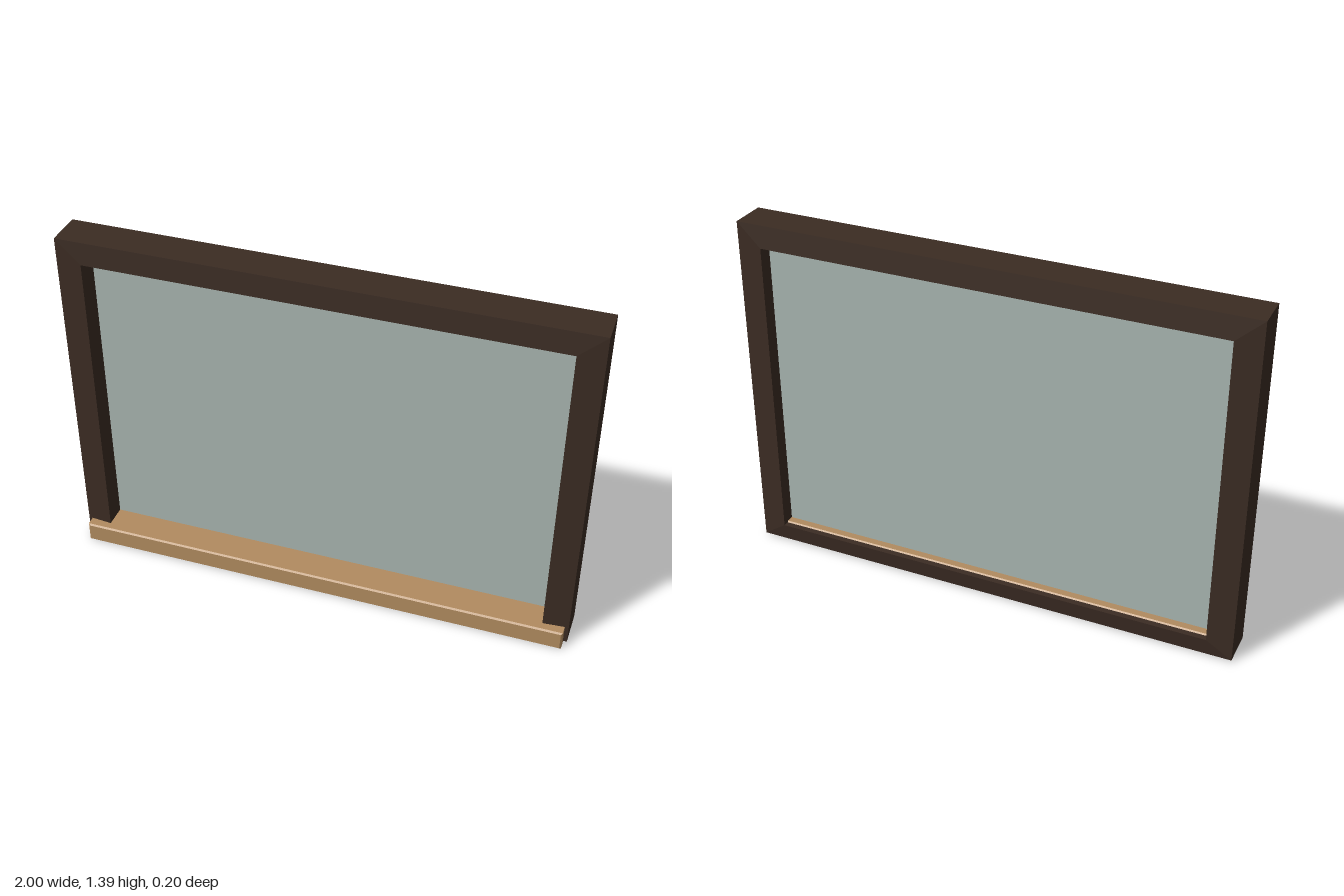
import * as THREE from 'three';

const frameMat = new THREE.MeshStandardMaterial({ name: 'dark brown frame', color: 0x3b2c23 });
const sillMat = new THREE.MeshStandardMaterial({ name: 'tan wood', color: 0xb28c60 });
const glassMat = new THREE.MeshStandardMaterial({ name: 'grey green glass', color: 0xa9b6b1 });

// Mitred rectangular ring: one profile swept round the four corners
function ringGeometry(outer, inner, profile) {
  const corners = [['x0', 'y0'], ['x1', 'y0'], ['x1', 'y1'], ['x0', 'y1']];
  const point = (c, p) => {
    const [kx, ky] = corners[c % 4];
    const { edge, z } = profile[p % profile.length];
    const r = edge === 'outer' ? outer : inner;
    return [r[kx], r[ky], z];
  };
  const pos = [];
  for (let c = 0; c < 4; c++) {
    for (let p = 0; p < profile.length; p++) {
      const a = point(c, p), b = point(c + 1, p), d = point(c, p + 1), e = point(c + 1, p + 1);
      pos.push(...a, ...b, ...e, ...a, ...e, ...d);
    }
  }
  const geo = new THREE.BufferGeometry();
  geo.setAttribute('position', new THREE.Float32BufferAttribute(pos, 3));
  geo.computeVertexNormals();
  return geo;
}

// Box with a small chamfer on every edge
function chamferBox(w, h, d, c) {
  const x = w / 2 - c, y = h / 2 - c;
  const shape = new THREE.Shape([
    new THREE.Vector2(-x, -y), new THREE.Vector2(x, -y),
    new THREE.Vector2(x, y), new THREE.Vector2(-x, y),
  ]);
  const geo = new THREE.ExtrudeGeometry(shape, {
    depth: d - 2 * c, bevelEnabled: true, bevelThickness: c, bevelSize: c, bevelSegments: 1,
  });
  geo.translate(0, 0, c - d / 2);
  return geo;
}

export function createModel() {
  const group = new THREE.Group();
  group.name = 'window';
  const add = (name, geo, mat, x = 0, y = 0, z = 0) => {
    const mesh = new THREE.Mesh(geo, mat);
    mesh.name = name;
    mesh.position.set(x, y, z);
    group.add(mesh);
  };

  // Frame, slightly thicker at its inner edge
  add('frame', ringGeometry(
    { x0: -1, x1: 1, y0: 0.007, y1: 1.395 },
    { x0: -0.9, x1: 0.9, y0: 0.077, y1: 1.307 },
    [
      { edge: 'outer', z: 0.057 }, { edge: 'inner', z: 0.065 },
      { edge: 'inner', z: -0.1 }, { edge: 'outer', z: -0.09 },
    ],
  ), frameMat);

  // Pane set back in the opening
  add('glassPane', new THREE.BoxGeometry(1.82, 1.25, 0.016), glassMat, 0, 0.69, -0.034);

  // Sill running under the pane and out past the front
  add('sill', chamferBox(1.97, 0.082, 0.177, 0.006), sillMat, 0, 0.041, 0.0115);

  return group;
}
